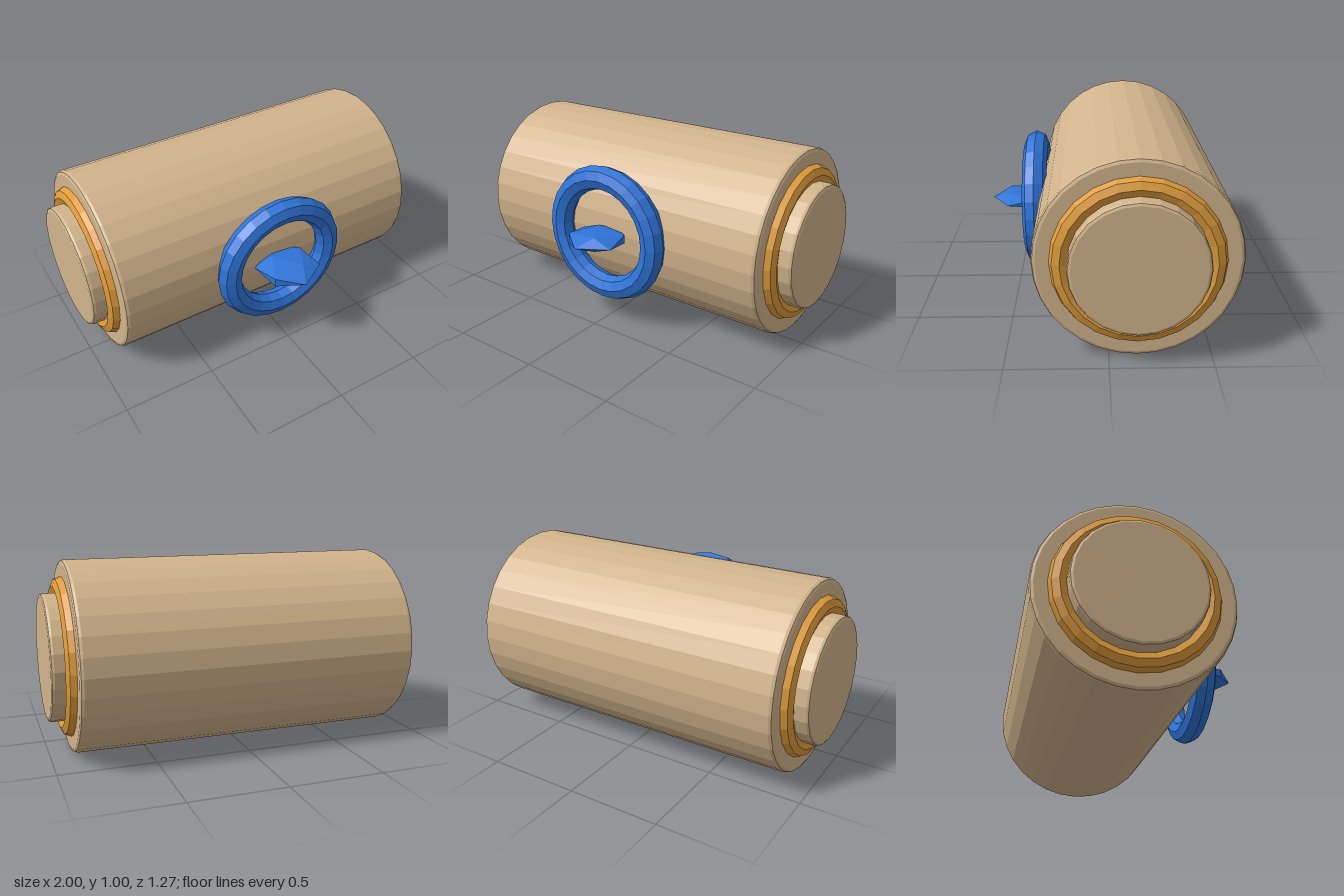
import * as THREE from 'three';
import { ConvexGeometry } from 'three/addons/geometries/ConvexGeometry.js';

const mat = (name, color) => Object.assign(new THREE.MeshStandardMaterial({ color }), { name });

// Facet every face so the low-poly sides stay crisp
function faceted(geometry) {
  const g = geometry.toNonIndexed();
  g.computeVertexNormals();
  return g;
}

// Solid drum along x with slightly rounded rims
function drum(radius, half, bevel, sides) {
  const k = bevel * 0.3;
  const rim = [[radius - bevel, half], [radius - k, half - k], [radius, half - bevel]];
  const profile = [
    [0, -half],
    ...rim.map(([r, h]) => [r, -h]),
    ...rim.slice().reverse(),
    [0, half],
  ].map(([r, h]) => new THREE.Vector2(r, h));
  return faceted(new THREE.LatheGeometry(profile, sides).rotateZ(-Math.PI / 2));
}

// Flattened twenty-sided gem with one point facing forward
function gem(rx, ry, depth) {
  const points = [new THREE.Vector3(0, 0, depth), new THREE.Vector3(0, 0, -depth)];
  for (let i = 0; i < 10; i++) {
    const a = (i * Math.PI) / 5;
    const z = depth * 0.447 * (i % 2 ? -1 : 1);
    points.push(new THREE.Vector3(rx * Math.cos(a), ry * Math.sin(a), z));
  }
  return new ConvexGeometry(points);
}

export function createModel() {
  const tan = mat('tan', 0xd2b48c);
  const gold = mat('gold', 0xe09c3c);
  const blue = mat('blue', 0x2f74d8);

  const model = new THREE.Group();
  model.name = 'cylinderDevice';
  const add = (name, geometry, material, x, y, z) => {
    const mesh = new THREE.Mesh(geometry, material);
    mesh.name = name;
    mesh.position.set(x, y, z);
    model.add(mesh);
  };

  // Main barrel and the narrower core that sticks out at both ends
  const axisY = 0.5, axisZ = -0.137;
  add('barrel', drum(0.5, 0.89, 0.02, 32), tan, 0, axisY, axisZ);
  add('endCore', drum(0.332, 1, 0.017, 24), tan, 0, axisY, axisZ);

  // Gold collar at each end
  for (const side of [1, -1]) {
    const collar = faceted(new THREE.TorusGeometry(0.366, 0.052, 8, 24).rotateY(Math.PI / 2));
    add(side > 0 ? 'leftCollar' : 'rightCollar', collar, gold, side * 0.885, axisY, axisZ);
  }

  // Front dial: blue ring with a pointed gem in the middle
  add('dialRing', faceted(new THREE.TorusGeometry(0.311, 0.066, 8, 24)), blue, 0, 0.5, 0.383);
  add('dialGem', gem(0.157, 0.041, 0.172), blue, 0, 0.5, 0.464);

  return model;
}
